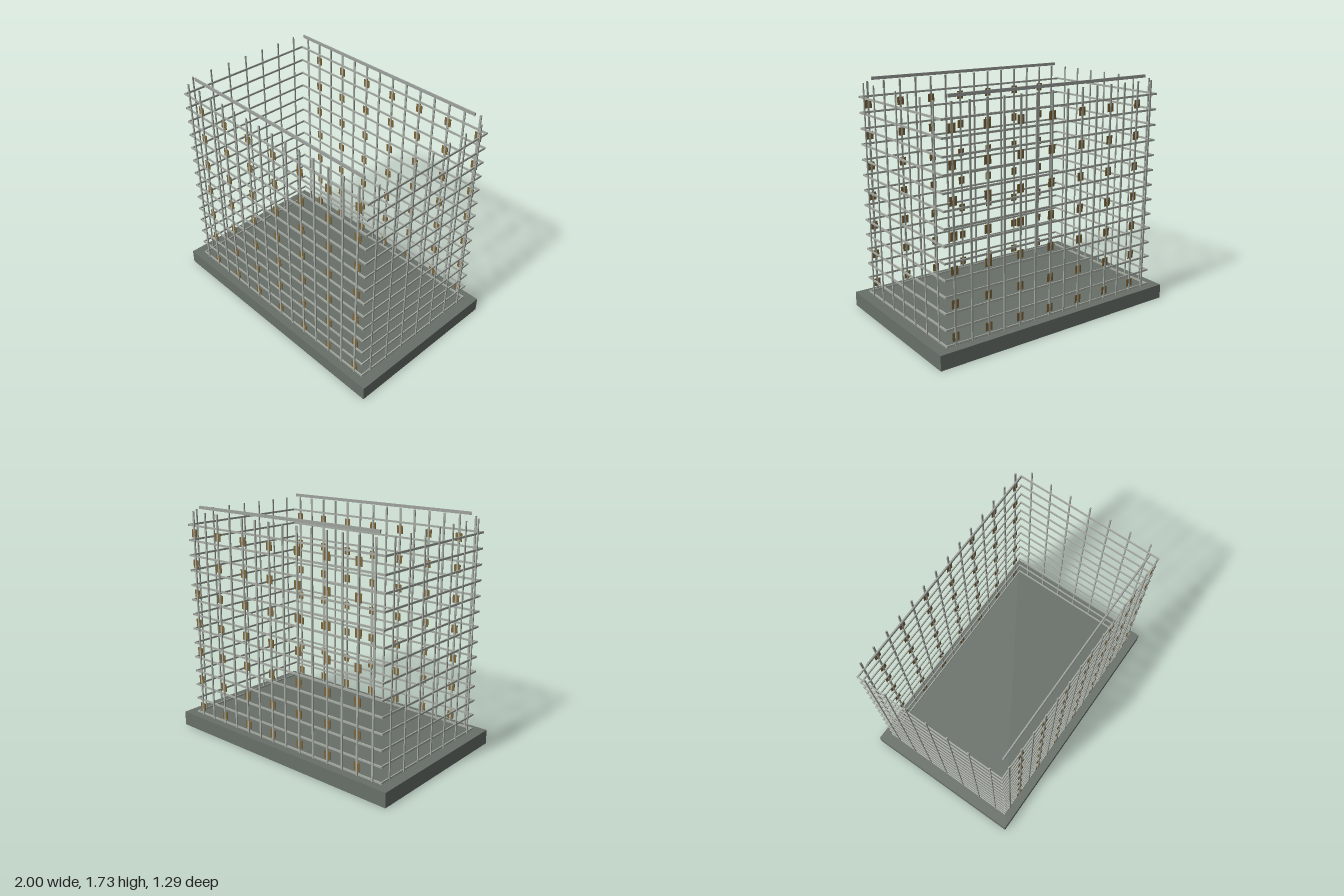
import * as THREE from 'three';

export function createModel() {
  const model = new THREE.Group();
  model.name = 'barCage';
  const cage = new THREE.Group();
  cage.name = 'cageOnSlab';
  cage.rotation.y = THREE.MathUtils.degToRad(1.4);
  model.add(cage);

  const flat = (name, color) => {
    const m = new THREE.MeshStandardMaterial({ color });
    m.name = name;
    return m;
  };
  const concrete = flat('concreteGrey', 0x686f68);
  const steel = flat('steelGrey', 0xa6aba3);
  const railSteel = flat('railGrey', 0x9ea29d);
  const bronze = flat('bronzeBrown', 0x7c6539);

  const box = (parent, name, mat, w, h, d, x, y, z) => {
    const mesh = new THREE.Mesh(new THREE.BoxGeometry(w, h, d), mat);
    mesh.name = name;
    mesh.position.set(x, y, z);
    parent.add(mesh);
  };

  const slabTop = 0.108, barTop = 1.69;
  const barH = barTop - slabTop, barY = (barTop + slabTop) / 2;
  const rowY = (i) => 0.116 + i * 0.113;

  // Base slab
  box(cage, 'baseSlab', concrete, 1.97, slabTop, 1.246, 0, slabTop / 2, 0);

  // Long walls, front and back
  for (const s of [1, -1]) {
    const wall = new THREE.Group();
    wall.name = s > 0 ? 'frontWall' : 'backWall';
    cage.add(wall);
    for (let i = 0; i < 14; i++) {
      const x = (i - 6.5) * 0.128;
      box(wall, 'verticalBar', steel, 0.014, barH, 0.008, x, barY, s * 0.563);
      box(wall, 'horizontalBar', steel, 1.806, 0.014, 0.008, 0, rowY(i), s * 0.556);
      // Thin clips on every second bar, midway between rows
      if (i % 2 === 1) {
        for (let r = 0; r < 13; r += 2) {
          box(wall, 'clip', bronze, 0.052, 0.06, 0.004, x, rowY(r + 0.5), s * 0.562);
        }
      }
    }
    // Top rail, set inside the wall
    box(wall, 'topRail', railSteel, 1.646, 0.022, 0.01, 0, 1.714, s * 0.51);
  }

  // Short end walls
  for (const s of [1, -1]) {
    const wall = new THREE.Group();
    wall.name = s > 0 ? 'leftEndWall' : 'rightEndWall';
    cage.add(wall);
    for (let i = 0; i < 7; i++) {
      box(wall, 'verticalBar', steel, 0.008, barH, 0.01, s * 0.904, barY, (i - 3) * 0.158);
    }
    for (let i = 0; i < 14; i++) {
      box(wall, 'horizontalBar', steel, 0.008, 0.014, 1.124, s * 0.898, rowY(i), 0);
    }
  }
  return model;
}
